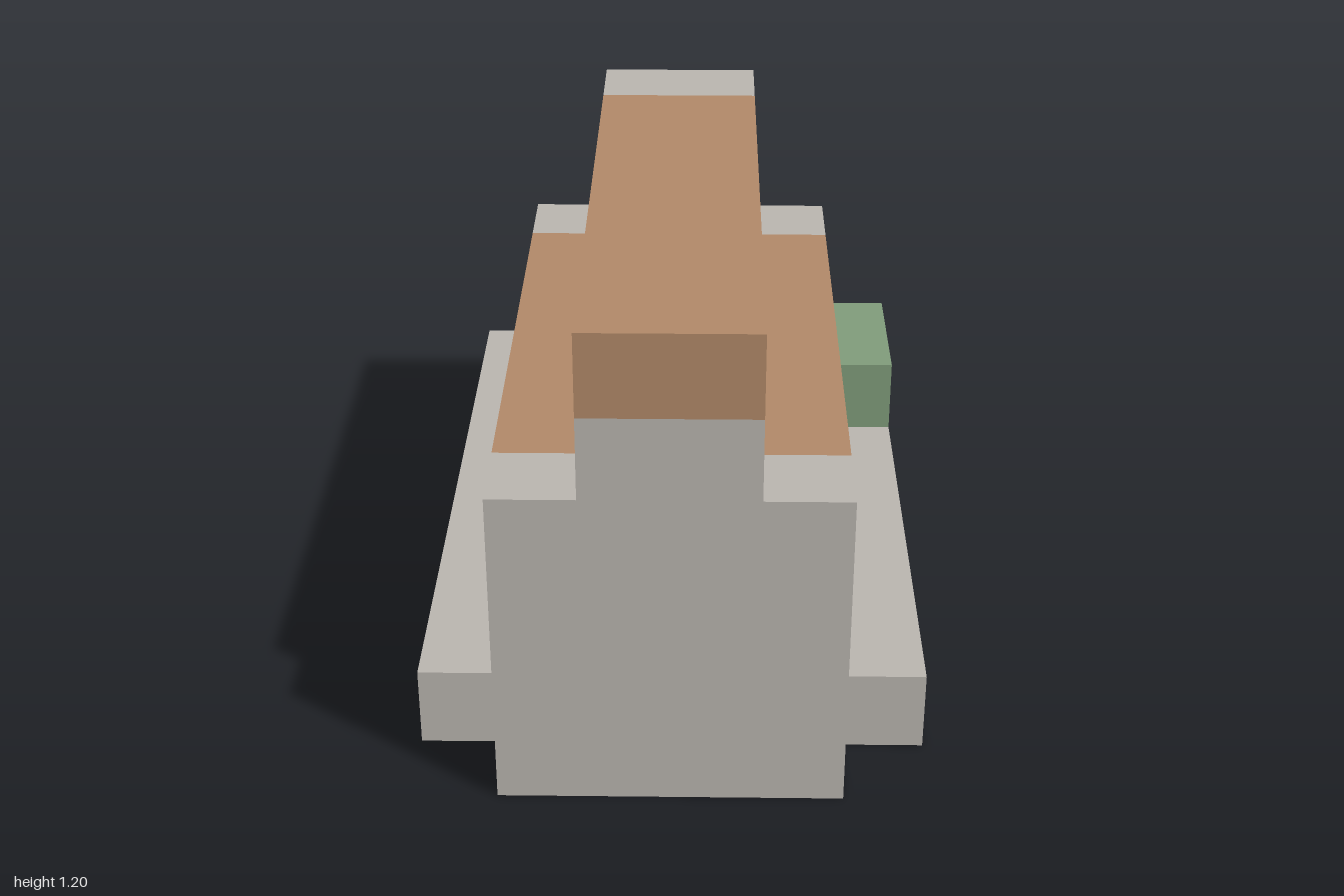
import * as THREE from 'three';
import { mergeGeometries } from 'three/addons/utils/BufferGeometryUtils.js';

const S = 0.2; // block size
const ORIGIN = new THREE.Vector3(-0.6, 0, -1);

function makeMaterial(name, color) {
  const m = new THREE.MeshStandardMaterial({ color, side: THREE.DoubleSide });
  m.name = name;
  return m;
}

const inside = (v, a, b) => v >= a && v <= b;

// Each part is a set of block ranges [x0,x1, y0,y1, z0,z1] and a paint rule per block.
// Later parts replace blocks of earlier ones.
const PARTS = [
  {
    name: 'body',
    ranges: [[1, 4, 0, 3, 2, 9]],
    paint(x, y, z) {
      if (x === 1 && y === 1 && z === 2) return 'soil';
      if (y === 3 && inside(z, 3, 8)) return 'clay';
      // hanging drips, the two sides are half-turn copies of each other
      if (y === 2 && x === 4 && [4, 5, 7].includes(z)) return 'clay';
      if (y === 2 && x === 1 && [4, 6, 7].includes(z)) return 'clay';
      return 'stone';
    },
  },
  {
    name: 'ridge',
    ranges: [[2, 3, 4, 5, 2, 9]],
    paint: (x, y, z) => (z >= 3 && (y === 5 || z <= 8) ? 'clay' : 'stone'),
  },
  {
    name: 'rearPost',
    ranges: [[2, 3, 0, 3, 1, 1]],
    paint: (x, y) => (y === 3 ? 'clay' : 'stone'),
  },
  {
    name: 'rightRail',
    ranges: [[0, 0, 0, 0, 0, 8], [1, 1, 0, 0, 0, 0]],
    paint: () => 'stone',
  },
  {
    name: 'leftRail',
    ranges: [[5, 5, 0, 0, 0, 8], [4, 4, 0, 0, 0, 0]],
    paint: () => 'stone',
  },
  { name: 'soilBlock', ranges: [[4, 4, 0, 1, 1, 1]], paint: () => 'soil' },
  { name: 'greenBlock', ranges: [[5, 5, 0, 1, 1, 2]], paint: () => 'moss' },
];

const DIRECTIONS = [
  [1, 0, 0], [-1, 0, 0], [0, 1, 0], [0, -1, 0], [0, 0, 1], [0, 0, -1],
].map((d) => new THREE.Vector3(...d));

// One square block face at a block position, looking along a direction
function blockFace(x, y, z, dir) {
  const turn = new THREE.Quaternion().setFromUnitVectors(new THREE.Vector3(0, 0, 1), dir);
  const centre = new THREE.Vector3(x + 0.5, y + 0.5, z + 0.5)
    .addScaledVector(dir, 0.5).multiplyScalar(S).add(ORIGIN);
  return new THREE.PlaneGeometry(S, S).applyQuaternion(turn).translate(centre.x, centre.y, centre.z);
}

export function createModel() {
  const materials = {
    stone: makeMaterial('stone grey', 0xb8b4ae),
    clay: makeMaterial('clay brown', 0xb08868),
    soil: makeMaterial('soil brown', 0x846f5e),
    moss: makeMaterial('moss green', 0x7f9b7a),
  };

  // Fill the block grid
  const grid = new Map();
  const key = (x, y, z) => `${x},${y},${z}`;
  for (const part of PARTS) {
    for (const [x0, x1, y0, y1, z0, z1] of part.ranges) {
      for (let x = x0; x <= x1; x++)
        for (let y = y0; y <= y1; y++)
          for (let z = z0; z <= z1; z++) grid.set(key(x, y, z), { part, x, y, z });
    }
  }

  // Keep only the outer shell, open underneath
  const model = new THREE.Group();
  model.name = 'model';
  for (const part of PARTS) {
    const faces = {};
    for (const block of grid.values()) {
      if (block.part !== part) continue;
      const { x, y, z } = block;
      for (const d of DIRECTIONS) {
        if (y + d.y < 0 || grid.has(key(x + d.x, y + d.y, z + d.z))) continue;
        (faces[part.paint(x, y, z)] ??= []).push(blockFace(x, y, z, d));
      }
    }
    const group = new THREE.Group();
    group.name = part.name;
    for (const [colour, list] of Object.entries(faces)) {
      const mesh = new THREE.Mesh(mergeGeometries(list), materials[colour]);
      mesh.name = `${part.name} ${colour}`;
      group.add(mesh);
    }
    model.add(group);
  }
  return model;
}
